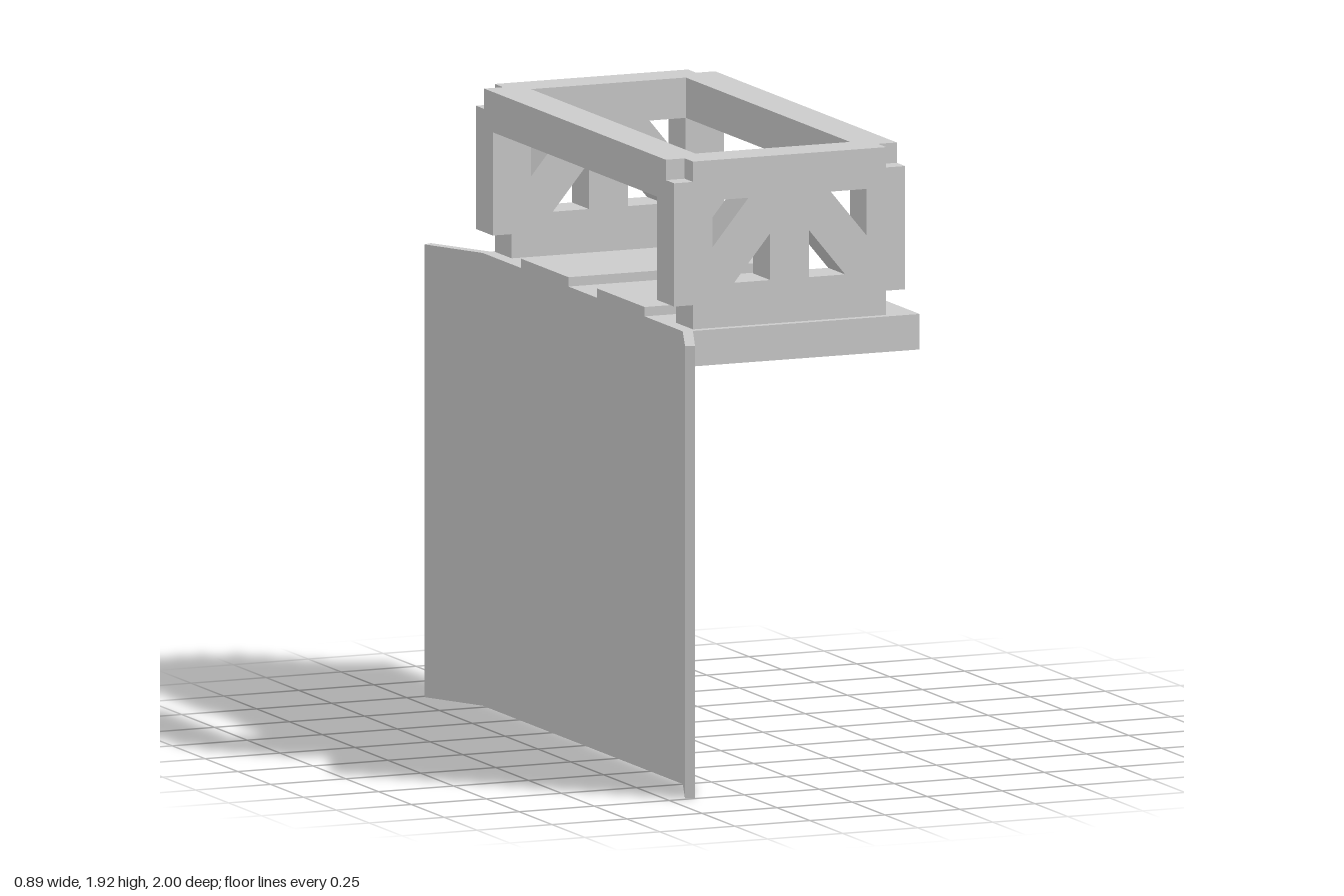
import * as THREE from 'three';

const mat = new THREE.MeshStandardMaterial({ color: 0xcccccc, flatShading: true });

function addMesh(parent, name, geometry) {
  const m = new THREE.Mesh(geometry, mat);
  m.name = name;
  parent.add(m);
  return m;
}

// Box given by its minimum and maximum corners
function addBox(parent, name, [x0, y0, z0], [x1, y1, z1]) {
  const g = new THREE.BoxGeometry(x1 - x0, y1 - y0, z1 - z0);
  return addMesh(parent, name, g.translate((x0 + x1) / 2, (y0 + y1) / 2, (z0 + z1) / 2));
}

const points = (list) => list.map(([x, y]) => new THREE.Vector2(x, y));

// Frame dimensions
const X0 = -0.37, X1 = 0.4, MID = (X0 + X1) / 2;
const BOTTOM = 1.405, TOP = 1.925, RAIL = 1.8, NOTCH = 0.063, STEP = 1.48;
const HALF = (X1 - X0) / 2;

// End plate outline: bottom corners always stepped, top corners notched on request
function plateGeometry(depth, topNotch) {
  const n = topNotch ? NOTCH : 0;
  const half = [[HALF - NOTCH, BOTTOM], [HALF - NOTCH, STEP], [HALF, STEP], [HALF, TOP - n]];
  if (n) half.push([HALF - n, TOP - n], [HALF - n, TOP]);
  const mirrored = half.map(([x, y]) => [-x, y]).reverse();
  const shape = new THREE.Shape(points([...half, ...mirrored]));

  // Triangular truss openings, mirrored about the middle
  const triangles = [
    [[0.257, 1.8], [0.137, 1.8], [0.257, 1.655]],
    [[0.065, 1.54], [0.185, 1.54], [0.065, 1.685]],
  ];
  for (const t of triangles)
    for (const s of [1, -1])
      shape.holes.push(new THREE.Path(points(t.map(([x, y]) => [x * s, y]))));
  return new THREE.ExtrudeGeometry(shape, { depth, bevelEnabled: false });
}

export function createModel() {
  const model = new THREE.Group();
  model.name = 'model';

  // Flat base slab with two raised cross pads
  addBox(model, 'baseSlab', [-0.315, 1.293, -0.79], [0.442, 1.403, 0.755]);
  for (const [z0, z1] of [[-0.485, -0.122], [0.095, 0.458]])
    addBox(model, 'raisedPad', [-0.345, 1.4, z0], [0.442, 1.432, z1]);

  // Hanging side panel with both end wings splayed outward
  const outline = [
    [-0.314, 0.755], [-0.414, 1.0], [-0.442, 0.988], [-0.345, 0.748],
    [-0.345, -0.775], [-0.447, -0.987], [-0.42, -1.0], [-0.314, -0.79],
  ];
  const panelShape = new THREE.Shape(points(outline.map(([x, z]) => [x, -z])));
  const panel = new THREE.ExtrudeGeometry(panelShape, { depth: 1.403, bevelEnabled: false });
  addMesh(model, 'sidePanel', panel.rotateX(-Math.PI / 2));

  // Upper frame: truss end plates joined by two top rails
  const frame = new THREE.Group();
  frame.name = 'upperFrame';
  model.add(frame);
  const thick = 0.129, zFront = 0.74, zBack = -0.77;
  const inner = thick - NOTCH;

  const plates = [
    ['frontPlateOuter', NOTCH, true, zFront - NOTCH],
    ['frontPlateInner', inner, false, zFront - thick],
    ['backPlateOuter', NOTCH, true, zBack],
    ['backPlateInner', inner, false, zBack + NOTCH],
  ];
  for (const [name, depth, notched, z] of plates)
    addMesh(frame, name, plateGeometry(depth, notched)).position.set(MID, 0, z);

  for (const [name, x0, x1] of [['rightTopRail', X0, -0.243], ['leftTopRail', 0.273, X1]])
    addBox(frame, name, [x0, RAIL, zBack + thick], [x1, TOP, zFront - thick]);

  return model;
}
